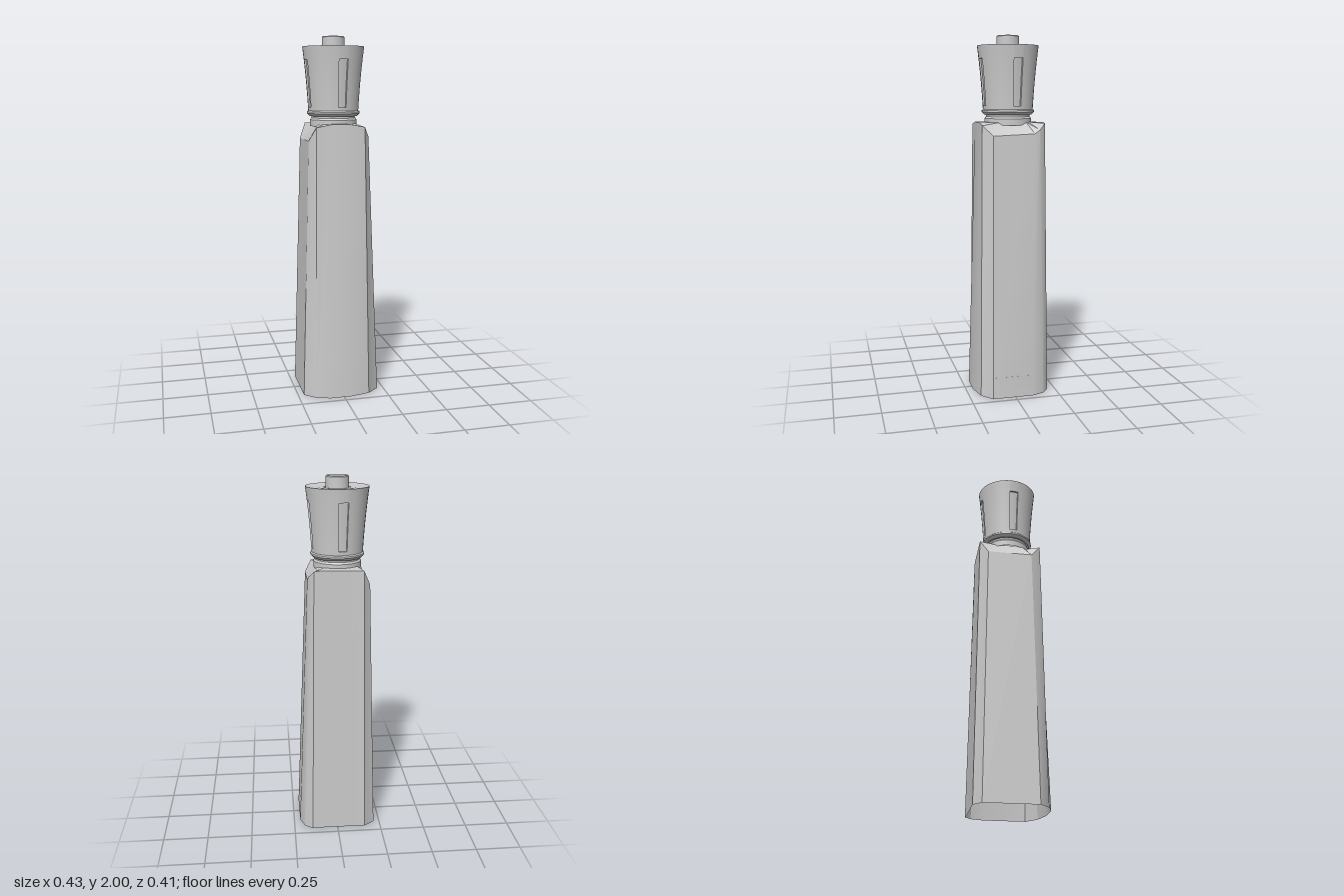
import * as THREE from 'three';
import { toCreasedNormals } from 'three/addons/utils/BufferGeometryUtils.js';

const CX = -0.013, CZ = -0.01; // axis of neck and cap
const grey = () => new THREE.MeshStandardMaterial({ color: 0xcccccc, side: THREE.DoubleSide });

// Skin a list of equal-length loops of [x, y, z], each running left, front, right, back
function loft(loops) {
  const n = loops[0].length, pos = [], idx = [];
  loops.forEach(l => l.forEach(p => pos.push(...p)));
  for (let k = 0; k < loops.length - 1; k++) {
    for (let i = 0; i < n; i++) {
      const j = (i + 1) % n, a = k * n, b = a + n;
      idx.push(a + i, a + j, b + j, a + i, b + j, b + i);
    }
  }
  const g = new THREE.BufferGeometry();
  g.setAttribute('position', new THREE.Float32BufferAttribute(pos, 3));
  g.setIndex(idx);
  return toCreasedNormals(g, 0.45);
}

function lathe(points, start = 0, length = Math.PI * 2, segments = 40) {
  const g = new THREE.LatheGeometry(points.map(p => new THREE.Vector2(...p)), segments, start, length);
  return toCreasedNormals(g, 0.5);
}

function add(parent, name, geometry) {
  const mesh = new THREE.Mesh(geometry, grey());
  mesh.name = name;
  parent.add(mesh);
  return mesh;
}

// Tapered body with uneven chamfered corners and a hollow underside
function bodyGeometry() {
  const base = [
    [-0.217, 0, 0.13], [-0.155, 0, 0.185], [-0.08, 0, 0.21], [0.045, 0, 0.21],
    [0.15, 0, 0.185], [0.215, 0, 0.13], [0.215, 0, -0.1], [0.19, 0, -0.17],
    [0.145, 0, -0.205], [0.1, 0, -0.2], [-0.16, 0, -0.2], [-0.217, 0, -0.16],
  ];
  const shoulder = [
    [-0.178, 1.44, 0.11], [-0.145, 1.515, 0.165], [-0.07, 1.53, 0.165], [0.04, 1.53, 0.165],
    [0.122, 1.515, 0.165], [0.157, 1.46, 0.11], [0.157, 1.47, -0.12], [0.152, 1.49, -0.15],
    [0.125, 1.525, -0.185], [0.09, 1.53, -0.185], [-0.14, 1.525, -0.185], [-0.178, 1.44, -0.14],
  ];
  const neckRing = shoulder.map(([x, , z]) => {
    const a = Math.atan2(x - CX, z - CZ);
    return [CX + 0.125 * Math.sin(a), 1.53, CZ + 0.125 * Math.cos(a)];
  });
  const recess = base.map(([x, , z]) => [x * 0.98, 0.12, z * 0.98]);
  const floor = base.map(() => [0, 0.12, 0]);
  return loft([floor, recess, base, shoulder, neckRing]);
}

// Flared radius of the cap wall at height y
const capRadius = y => {
  const t = (y - 1.6) / 0.345;
  return 0.139 + 0.018 * t + 0.013 * t * t;
};

// Cap wall with four shallow vertical grooves
function makeCapWall() {
  const wall = new THREE.Group();
  wall.name = 'capWall';
  const y0 = 1.62, y1 = 1.875, depth = 0.01, width = 0.32;
  const heights = [1.6, y0, 1.68, 1.75, 1.81, y1, 1.91, 1.945];
  const plain = heights.map(y => [capRadius(y), y]);
  const inner = heights.filter(y => y >= y0 && y <= y1).map(y => [capRadius(y) - depth, y]);
  const outer = plain.slice(1, 6);
  const grooved = [plain[0], plain[1], ...inner, ...plain.slice(5)];
  for (let k = 0; k < 4; k++) {
    const mid = 0.13 + k * Math.PI / 2;
    add(wall, 'wallPanel', lathe(plain, mid + width / 2, Math.PI / 2 - width, 8));
    add(wall, 'groove', lathe(grooved, mid - width / 2, width, 3));
    // Thin cheeks closing the sides of the groove
    const section = new THREE.Shape([...outer, ...inner.slice().reverse()].map(p => new THREE.Vector2(...p)));
    for (const side of [-1, 1]) {
      const cheek = add(wall, 'grooveSide', new THREE.ShapeGeometry(section));
      cheek.rotation.y = mid + side * width / 2 - Math.PI / 2;
    }
  }
  return wall;
}

export function createModel() {
  const model = new THREE.Group();
  model.name = 'bottle';
  add(model, 'body', bodyGeometry());

  const top = new THREE.Group();
  top.name = 'neckAndCap';
  top.position.set(CX, 0, CZ);
  model.add(top);

  add(top, 'neck', lathe([[0.13, 1.515], [0.13, 1.55], [0.122, 1.56], [0.122, 1.58]]));
  add(top, 'capFlange', lathe([
    [0.115, 1.57], [0.132, 1.57], [0.146, 1.585], [0.146, 1.594], [0.139, 1.6],
  ]));
  top.add(makeCapWall());
  add(top, 'capTop', lathe([[0.17, 1.945], [0.12, 1.943], [0.072, 1.938], [0.068, 1.925], [0.06, 1.925]]));
  add(top, 'knob', lathe([[0.062, 1.925], [0.062, 1.995], [0.058, 2], [0, 2]], 0, Math.PI * 2, 20));
  return model;
}
